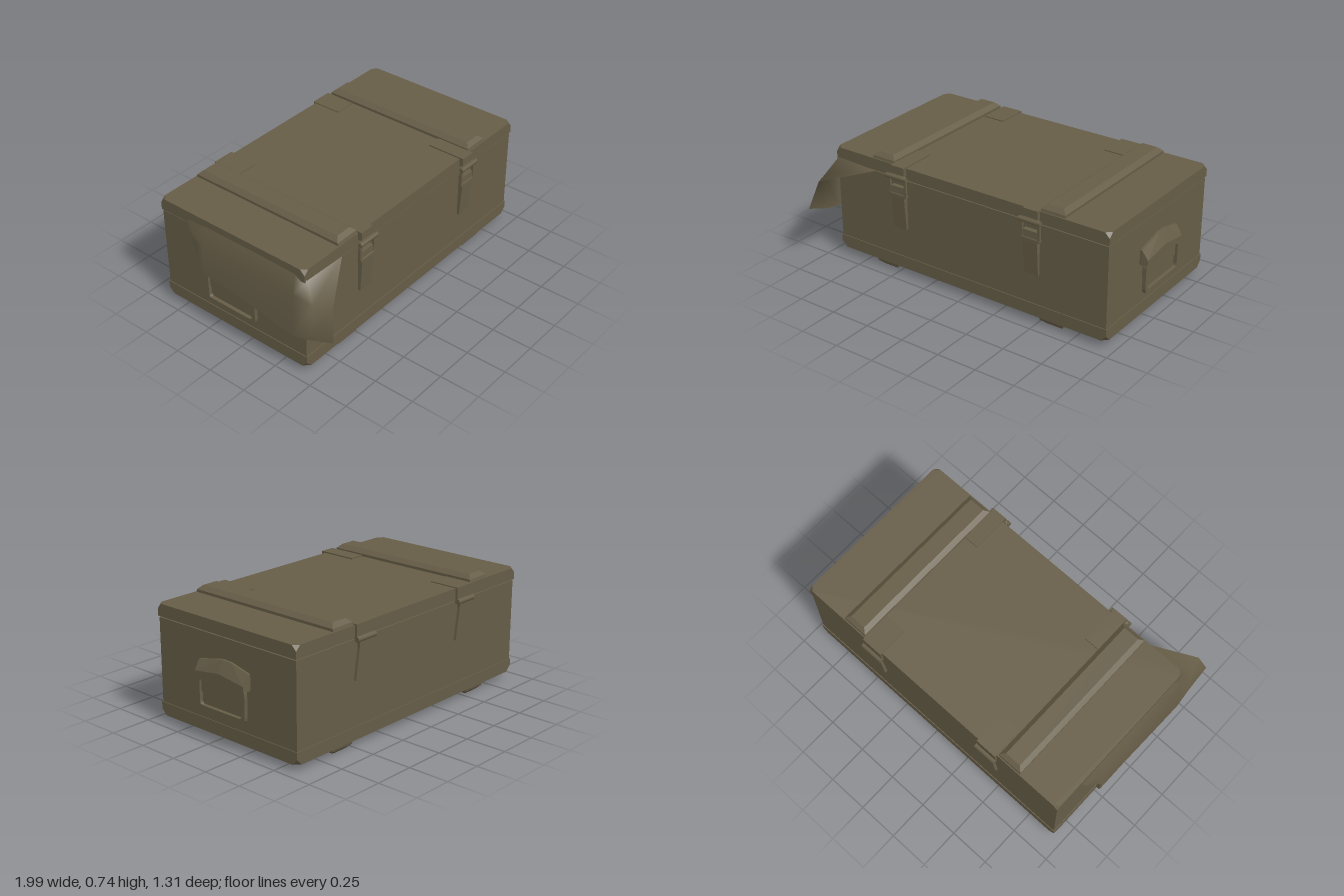
import * as THREE from 'three';
import { ConvexGeometry } from 'three/addons/geometries/ConvexGeometry.js';

const paint = new THREE.MeshStandardMaterial({ color: 0x665d47 });
paint.name = 'olive drab';
const cloth = new THREE.MeshStandardMaterial({ color: 0x665d47, side: THREE.DoubleSide });
cloth.name = 'olive canvas';

const CX = 0.005, CZ = -0.095, HX = 0.945, HZ = 0.525;
const vec = ([x, y, z]) => new THREE.Vector3(x, y, z);

function add(parent, name, geometry, x = 0, y = 0, z = 0, material = paint) {
  const mesh = new THREE.Mesh(geometry, material);
  mesh.name = name;
  mesh.position.set(x, y, z);
  parent.add(mesh);
  return mesh;
}
const box = (p, name, x0, x1, y0, y1, z0, z1) =>
  add(p, name, new THREE.BoxGeometry(x1 - x0, y1 - y0, z1 - z0), (x0 + x1) / 2, (y0 + y1) / 2, (z0 + z1) / 2);

// Shallow tray whose four outer corners are clipped
function tray(yInner, yOuter, cut) {
  const pts = [], dy = Math.sign(yOuter - yInner) * cut;
  for (const sx of [-1, 1]) for (const sz of [-1, 1]) {
    pts.push([sx * HX, yInner, sz * HZ], [sx * (HX - cut), yOuter, sz * HZ],
      [sx * HX, yOuter, sz * (HZ - cut)], [sx * HX, yOuter - dy, sz * HZ]);
  }
  return new ConvexGeometry(pts.map(vec));
}

// Batten with chamfered long edges and sloped ends
function batten(up) {
  const pts = [];
  for (const sx of [-1, 1]) for (const sz of [-1, 1]) {
    pts.push([sx * 0.078, -0.01 * up, sz * 0.522], [sx * 0.078, 0.018 * up, sz * 0.515],
      [sx * 0.05, 0.042 * up, sz * 0.49]);
  }
  return new ConvexGeometry(pts.map(vec));
}

function roundedRect(path, w, h, r) {
  const x = w / 2, y = h / 2;
  path.moveTo(-x + r, -y); path.lineTo(x - r, -y);
  path.quadraticCurveTo(x, -y, x, -y + r); path.lineTo(x, y - r);
  path.quadraticCurveTo(x, y, x - r, y); path.lineTo(-x + r, y);
  path.quadraticCurveTo(-x, y, -x, y - r); path.lineTo(-x, -y + r);
  path.quadraticCurveTo(-x, -y, -x + r, -y);
  return path;
}
function frame(w, h, r, bar, depth) {
  const shape = roundedRect(new THREE.Shape(), w, h, r);
  shape.holes.push(roundedRect(new THREE.Path(), w - 2 * bar, h - 2 * bar, r * 0.6));
  return new THREE.ExtrudeGeometry(shape, { depth, bevelEnabled: false, curveSegments: 3 });
}

// Carrying handle on the +x end, in a frame centred on the handle
function handle() {
  const g = new THREE.Group();
  const back = [[-0.19, 0.37], [-0.19, 0.465], [-0.06, 0.497], [0.01, 0.5], [0.19, 0.46], [0.19, 0.37]];
  const front = [[-0.185, 0.375], [-0.185, 0.405], [0, 0.43], [0.185, 0.405], [0.185, 0.375]];
  add(g, 'handleHood', new ConvexGeometry([
    ...back.map(([z, y]) => vec([HX - 0.005, y, z])),
    ...back.map(([z, y]) => vec([HX + 0.008, y, z])),
    ...front.map(([z, y]) => vec([HX + 0.045, y, z]))]));
  const loop = add(g, 'handleLoop', frame(0.37, 0.2, 0.035, 0.024, 0.022), HX + 0.015, 0.288, 0);
  loop.rotation.y = Math.PI / 2;
  // Bowed guard plate behind the loop
  const s = new THREE.Shape();
  s.moveTo(-0.165, 0.37); s.lineTo(-0.165, 0.28);
  s.quadraticCurveTo(0, 0.32, 0.165, 0.28); s.lineTo(0.165, 0.37);
  const guard = add(g, 'handleGuard',
    new THREE.ExtrudeGeometry(s, { depth: 0.022, bevelEnabled: false, curveSegments: 6 }), HX, 0, 0);
  guard.rotation.y = Math.PI / 2;
  return g;
}

// Front toggle latch
function latch() {
  const g = new THREE.Group();
  box(g, 'latchTopPlate', -0.047, 0.047, 0.69, 0.71, 0.21, 0.452);
  box(g, 'latchHook', -0.047, 0.047, 0.655, 0.71, 0.425, 0.455);
  add(g, 'latchLever', new ConvexGeometry([-0.047, 0.047].flatMap(x => [
    [x, 0.315, 0.43], [x, 0.315, 0.445], [x, 0.54, 0.46], [x, 0.585, 0.458], [x, 0.585, 0.43]].map(vec))));
  add(g, 'latchBail', frame(0.13, 0.14, 0.02, 0.016, 0.014), 0, 0.59, 0.448);
  for (const [y, z, w, r] of [[0.645, 0.462, 0.145, 0.014], [0.535, 0.452, 0.13, 0.012]]) {
    const pin = add(g, 'latchPin', new THREE.CylinderGeometry(r, r, w, 8), 0, y, z);
    pin.rotation.z = Math.PI / 2;
  }
  return g;
}

// Rear hinge with flared lower leaf
function hinge() {
  const g = new THREE.Group();
  box(g, 'hingeTopPlate', -0.068, 0.068, 0.69, 0.708, -0.632, -0.44);
  box(g, 'hingeUpperLeaf', -0.068, 0.068, 0.63, 0.708, -0.634, -0.61);
  const knuckle = add(g, 'hingeKnuckle', new THREE.CylinderGeometry(0.017, 0.017, 0.145, 8), 0, 0.625, -0.638);
  knuckle.rotation.z = Math.PI / 2;
  const s = new THREE.Shape();
  [[-0.04, 0.625], [-0.04, 0.57], [-0.068, 0.39], [0.068, 0.39], [0.04, 0.57], [0.04, 0.625]]
    .forEach(([x, y], i) => (i ? s.lineTo(x, y) : s.moveTo(x, y)));
  add(g, 'hingeLowerLeaf', new THREE.ExtrudeGeometry(s, { depth: 0.02, bevelEnabled: false }), 0, 0, -0.632);
  return g;
}

// Canvas flap hanging over the right end and flaring past the front corner
function flap() {
  const columns = [
    [[-0.938, 0.66, -0.42], [-0.95, 0.6, -0.4], [-0.955, 0.52, -0.37]],
    [[-0.938, 0.665, -0.28], [-0.98, 0.56, -0.27], [-0.995, 0.38, -0.27]],
    [[-0.938, 0.665, 0.08], [-0.98, 0.56, 0.08], [-0.997, 0.34, 0.08]],
    [[-0.938, 0.66, 0.36], [-0.98, 0.55, 0.38], [-0.995, 0.28, 0.39]],
    [[-0.925, 0.64, 0.435], [-0.975, 0.54, 0.51], [-0.985, 0.31, 0.5]],
    [[-0.64, 0.625, 0.43], [-0.93, 0.545, 0.61], [-0.98, 0.37, 0.655]]];
  const index = [];
  for (let c = 0; c < columns.length - 1; c++) for (let r = 0; r < 2; r++) {
    const a = c * 3 + r, b = a + 3;
    index.push(a, a + 1, b, b, a + 1, b + 1);
  }
  const geo = new THREE.BufferGeometry();
  geo.setAttribute('position', new THREE.Float32BufferAttribute(columns.flat(2), 3));
  geo.setIndex(index);
  geo.computeVertexNormals();
  return geo;
}

export function createModel() {
  const model = new THREE.Group();
  model.name = 'storageCrate';

  // Case
  box(model, 'body', CX - HX + 0.005, CX + HX - 0.005, 0.115, 0.62, CZ - HZ + 0.005, CZ + HZ - 0.005);
  add(model, 'lid', tray(0.628, 0.702, 0.03), CX, 0, CZ);
  add(model, 'base', tray(0.12, 0.043, 0.035), CX, 0, CZ);

  // Battens on lid and base
  for (const x of [-0.585, 0.59]) {
    add(model, 'lidBatten', batten(1), x, 0.7, CZ);
    add(model, 'baseBatten', batten(-1), x, 0.043, CZ);
  }

  // Fittings
  for (const x of [-0.458, 0.467]) {
    const l = latch();
    l.name = 'latch';
    l.position.x = x;
    model.add(l);
  }
  for (const x of [-0.43, 0.438]) {
    const h = hinge();
    h.name = 'hinge';
    h.position.x = x;
    model.add(h);
  }
  for (const turn of [0, Math.PI]) {
    const h = handle();
    h.name = turn ? 'rightHandle' : 'leftHandle';
    h.position.set(CX, 0, -0.092);
    h.rotation.y = turn;
    model.add(h);
  }

  add(model, 'canvasFlap', flap(), 0, 0, 0, cloth);
  return model;
}
